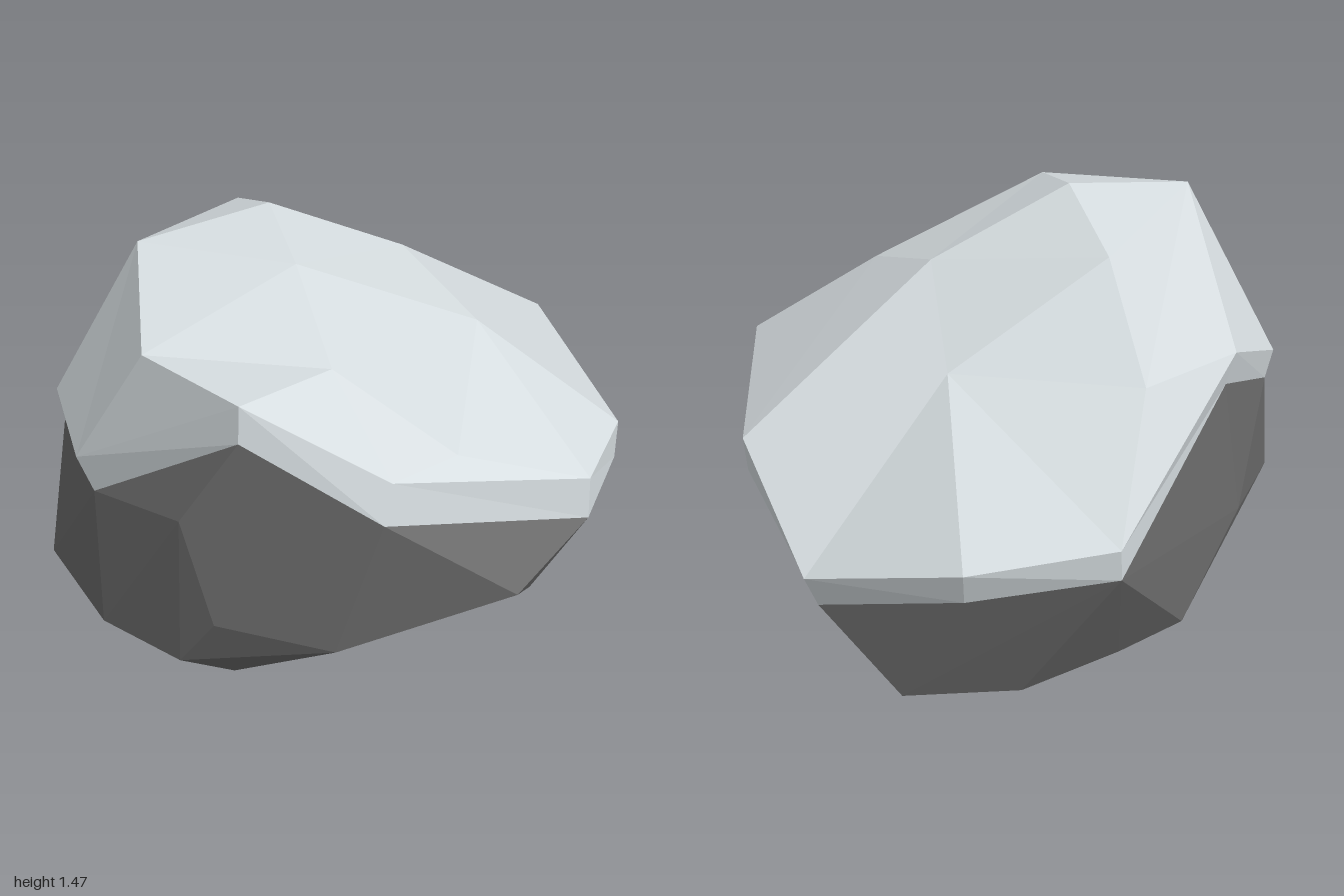
import * as THREE from 'three';
import { ConvexGeometry } from 'three/addons/geometries/ConvexGeometry.js';

// Snow rim, counter-clockwise from above: the upper edge and the lower edge on the rock
const upper = {
  A: [0.21, 1.22, 0.90], B: [0.53, 0.95, 0.64], C: [0.90, 0.81, 0.11], D: [0.85, 0.83, -0.22],
  E: [0.27, 0.85, -0.85], F: [-0.10, 0.58, -1.0], G: [-0.59, 0.73, -0.89], H: [-0.91, 0.79, -0.61],
  I: [-0.83, 1.06, 0.16], J: [-0.75, 0.87, 0.62], K: [-0.44, 0.84, 0.87],
};
const lower = [
  [0.21, 1.11, 0.91], [0.53, 0.83, 0.68], [0.91, 0.68, 0.12], [0.85, 0.70, -0.22],
  [0.27, 0.735, -0.84], [-0.10, 0.46, -0.95], [-0.57, 0.62, -0.86], [-0.91, 0.69, -0.60],
  [-0.80, 0.94, 0.17], [-0.73, 0.76, 0.62], [-0.39, 0.73, 0.86],
];

// Bumps of the snow inside the rim
const bumps = {
  N: [-0.16, 1.25, 0.85], Q: [-0.43, 1.42, 0.53], R: [0.30, 1.22, 0.59], S: [-0.21, 1.47, 0.16],
  T: [0.04, 1.40, 0.38], U: [-0.50, 1.36, -0.06], V: [0.42, 1.145, -0.05], W: [0.06, 1.265, -0.20],
  X: [-0.23, 1.07, -0.49], Y: [0.61, 0.95, 0.41], P: [-0.76, 1.09, -0.26],
};

// Facets as fans: the hub first, then its neighbours in order
const fans = ['TNRVWSQN', 'YRBCVR', 'VCDEW', 'XWEFGHPUW', 'SWUQ', 'PHIQU', 'QIJKN', 'NKAR', 'RAB'];

// Rock corners below the snow
const rockCorners = [
  // front face
  [-0.70, 0.34, 0.77], [-0.31, 0.335, 0.96], [-0.02, 0.30, 0.95], [0.06, 0.86, 1.0],
  [0.12, 0.49, 0.95], [0.28, 0.48, 0.84], [0.41, 0.38, 0.75], [0.05, 0.17, 0.78],
  // sides
  [0.83, 0.55, 0.42], [0.70, 0.28, 0.03], [0.73, 0.34, -0.21], [0.56, 0.35, -0.44],
  [-0.87, 0.50, 0.20], [-0.92, 0.34, -0.24], [-0.80, 0.27, -0.40],
  // underside
  [-0.12, 0, 0.58], [-0.41, 0.035, -0.05], [-0.71, 0.145, 0.30], [0.32, 0.10, 0.19],
  [0.50, 0.11, -0.08], [0.42, 0.11, -0.20], [-0.36, 0.21, -0.89], [-0.62, 0.20, -0.65],
];

function facetGeometry(triangles) {
  const geometry = new THREE.BufferGeometry();
  geometry.setAttribute('position', new THREE.Float32BufferAttribute(triangles.flat(2), 3));
  geometry.computeVertexNormals();
  return geometry;
}

export function createModel() {
  const group = new THREE.Group();
  group.name = 'snowyBoulder';

  const rockMaterial = new THREE.MeshStandardMaterial({ color: 0x676767, flatShading: true });
  rockMaterial.name = 'darkRock';
  const snowMaterial = new THREE.MeshStandardMaterial({ color: 0xd3dadd, flatShading: true, side: THREE.DoubleSide });
  snowMaterial.name = 'paleSnow';

  // Boulder
  const rockPoints = [...rockCorners, ...lower].map((p) => new THREE.Vector3(...p));
  const rock = new THREE.Mesh(new ConvexGeometry(rockPoints), rockMaterial);
  rock.name = 'boulder';

  // Snow top
  const points = { ...upper, ...bumps };
  const topFacets = [];
  for (const [hub, ...ring] of fans) {
    for (let i = 0; i + 1 < ring.length; i++) {
      topFacets.push([points[hub], points[ring[i]], points[ring[i + 1]]]);
    }
  }
  const snowTop = new THREE.Mesh(facetGeometry(topFacets), snowMaterial);
  snowTop.name = 'snowTop';

  // Snow edge
  const rim = Object.values(upper);
  const edgeFacets = [];
  rim.forEach((a, i) => {
    const j = (i + 1) % rim.length;
    edgeFacets.push([a, lower[i], lower[j]], [a, lower[j], rim[j]]);
  });
  const snowEdge = new THREE.Mesh(facetGeometry(edgeFacets), snowMaterial);
  snowEdge.name = 'snowEdge';

  group.add(rock, snowTop, snowEdge);
  return group;
}
